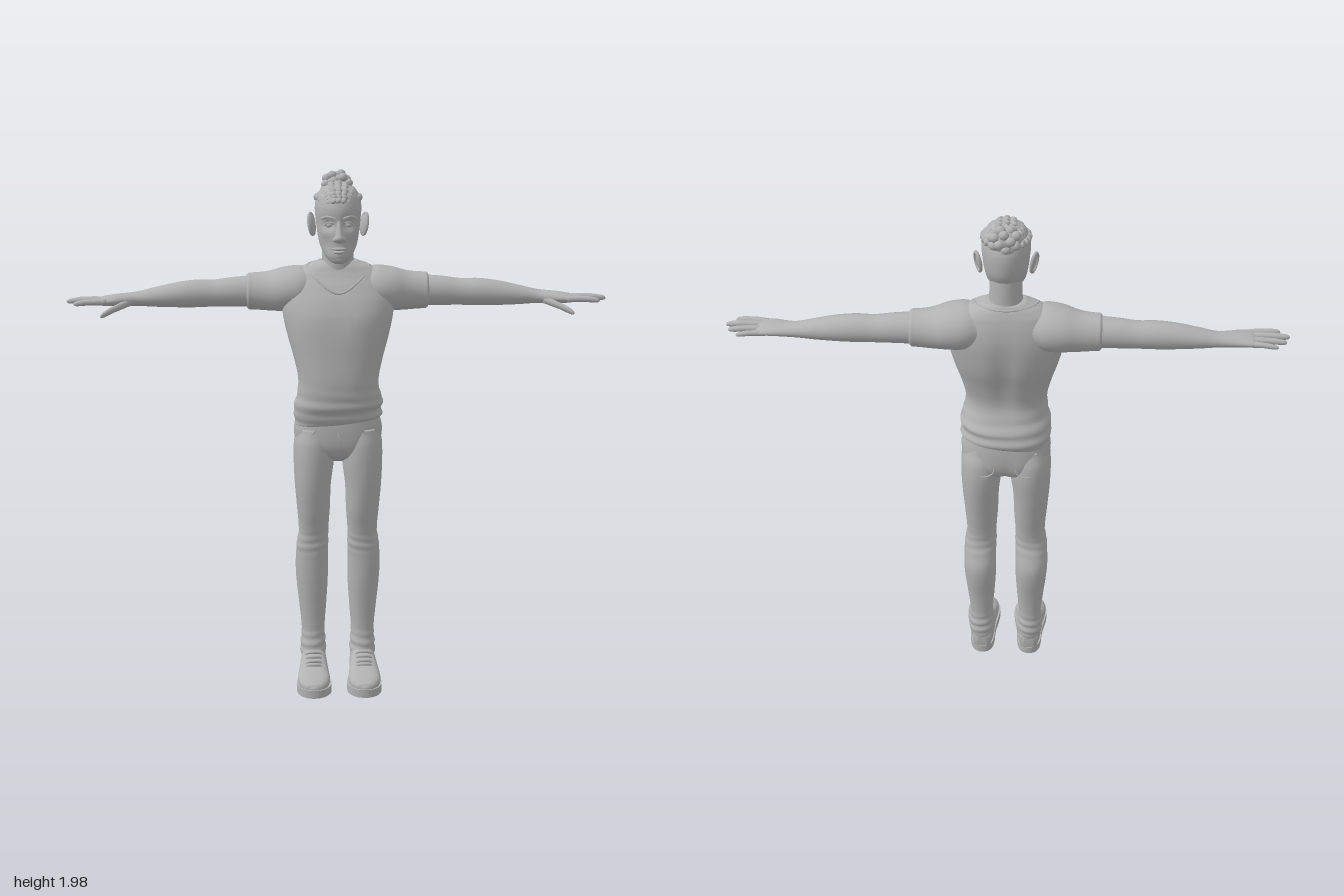
import * as THREE from 'three';
import { mergeGeometries } from 'three/addons/utils/BufferGeometryUtils.js';

const clay = new THREE.MeshStandardMaterial({ color: 0xb2b2b2 });
clay.name = 'clay grey';

// Smooth loft. Each section is [t, a, b, ra, rb]: position along the axis, centre and half sizes across it.
function loft(axis, sections, { steps = 5, sides = 32, power = 2, warp } = {}) {
  const curves = [];
  for (let k = 1; k < 5; k++) curves.push(sections.map(s => s[k]));
  const spline = (v, i, f) => {
    const p = j => v[Math.min(Math.max(j, 0), v.length - 1)];
    const [a, b, c, d] = [p(i - 1), p(i), p(i + 1), p(i + 2)];
    return b + 0.5 * f * (c - a + f * (2 * a - 5 * b + 4 * c - d + f * (3 * (b - c) + d - a)));
  };
  const rows = (sections.length - 1) * steps, pos = [], index = [];
  const place = (t, a, b) => {
    const p = axis === 'y' ? new THREE.Vector3(a, t, b)
      : axis === 'x' ? new THREE.Vector3(t, a, b) : new THREE.Vector3(a, b, t);
    if (warp) warp(p);
    pos.push(p.x, p.y, p.z);
  };
  const tri = (a, b, c) => axis === 'y' ? index.push(a, c, b) : index.push(a, b, c);
  for (let r = 0; r <= rows; r++) {
    const i = Math.min(Math.floor(r / steps), sections.length - 2), f = r / steps - i;
    const t = sections[i][0] + f * (sections[i + 1][0] - sections[i][0]);
    const [a, b, ra, rb] = curves.map(v => spline(v, i, f));
    for (let j = 0; j < sides; j++) {
      const c = Math.cos(j / sides * Math.PI * 2), s = Math.sin(j / sides * Math.PI * 2);
      const round = v => Math.sign(v) * Math.abs(v) ** (2 / power);
      place(t, a + ra * round(c), b + rb * round(s));
    }
  }
  for (let r = 0; r < rows; r++) for (let j = 0; j < sides; j++) {
    const a = r * sides + j, b = r * sides + (j + 1) % sides;
    tri(a, b, b + sides);
    tri(a, b + sides, a + sides);
  }
  for (const [s, row] of [[sections[0], 0], [sections.at(-1), rows]]) {
    const centre = pos.length / 3;
    place(s[0], s[1], s[2]);
    for (let j = 0; j < sides; j++) {
      const a = row * sides + j, b = row * sides + (j + 1) % sides;
      row ? tri(centre, a, b) : tri(centre, b, a);
    }
  }
  const g = new THREE.BufferGeometry();
  g.setAttribute('position', new THREE.Float32BufferAttribute(pos, 3));
  g.setIndex(index);
  g.computeVertexNormals();
  return g;
}

// Section from a front and back depth instead of centre and radius
const sec = (y, cx, rx, front, back) => [y, cx, (front + back) / 2, rx, (front - back) / 2];
const blob = (x, y, z, rx, ry, rz, w = 16, h = 12) =>
  new THREE.SphereGeometry(1, w, h).scale(rx, ry, rz).translate(x, y, z);
const tube = (points, r, closed = false) => new THREE.TubeGeometry(
  new THREE.CatmullRomCurve3(points.map(p => new THREE.Vector3(...p)), closed), 40, r, 6, closed);
const bump = (d, w) => Math.exp(-(d * d) / (w * w));

function mirrored(g) {
  const m = g.clone().scale(-1, 1, 1), i = m.index;
  for (let k = 0; k < i.count; k += 3) {
    const b = i.getX(k + 1);
    i.setX(k + 1, i.getX(k + 2));
    i.setX(k + 2, b);
  }
  return m;
}

export function createModel() {
  const model = new THREE.Group();
  model.name = 'standing man';
  const add = (name, g) => {
    const mesh = new THREE.Mesh(g, clay);
    mesh.name = name;
    model.add(mesh);
  };
  const pair = (name, g) => { add('left ' + name, g); add('right ' + name, mirrored(g)); };

  // Shirt: spine groove, chest, waist folds and a slanted hem
  add('shirt', loft('y', [
    sec(1.048, 0, .158, .068, -.138), sec(1.06, 0, .166, .08, -.147), sec(1.09, 0, .164, .09, -.145),
    sec(1.12, 0, .168, .105, -.138), sec(1.16, 0, .156, .11, -.118), sec(1.22, 0, .15, .114, -.103),
    sec(1.3, 0, .166, .111, -.118), sec(1.38, 0, .188, .106, -.142), sec(1.46, 0, .205, .092, -.152),
    sec(1.52, 0, .208, .072, -.153), sec(1.57, 0, .195, .045, -.146), sec(1.61, 0, .165, .02, -.135),
    sec(1.635, 0, .122, .008, -.124), sec(1.655, 0, .07, -.003, -.113)
  ], { sides: 48, power: 2.25, warp: p => {
    const low = THREE.MathUtils.clamp((1.22 - p.y) / .12, 0, 1);
    const fold = low * .004 * Math.sin(p.y * 130 + p.x * 14);
    p.x *= 1 + fold * 5;
    p.z *= 1 + fold * 6;
    if (p.z < -.06) p.z += .016 * bump(p.x, .035) * bump(p.y - 1.38, .16);
    if (p.z > 0) p.z += .006 * bump(Math.abs(p.x) - .085, .06) * bump(p.y - 1.45, .06);
    p.y += p.x * .11 * low;
  } }));
  add('collar', tube([[0, 1.643, -.12], [.085, 1.642, -.09], [.115, 1.632, -.03], [.065, 1.578, .036],
    [0, 1.545, .06], [-.065, 1.578, .036], [-.115, 1.632, -.03], [-.085, 1.642, -.09]], .004, true));
  pair('sleeve', loft('x', [
    [.08, 1.55, -.06, .07, .075], [.14, 1.548, -.06, .085, .095], [.2, 1.545, -.063, .082, .093],
    [.26, 1.538, -.068, .073, .075], [.31, 1.537, -.07, .069, .065], [.33, 1.537, -.07, .068, .063],
    [.337, 1.537, -.07, .062, .057]]));

  // Arms and hands
  pair('arm', loft('x', [
    [.31, 1.537, -.07, .058, .056], [.4, 1.534, -.07, .054, .052], [.46, 1.53, -.07, .05, .049],
    [.53, 1.529, -.068, .051, .05], [.6, 1.525, -.066, .046, .048], [.68, 1.518, -.064, .036, .041],
    [.74, 1.513, -.062, .027, .035], [.78, 1.511, -.056, .024, .039], [.82, 1.51, -.049, .022, .046],
    [.865, 1.508, -.045, .017, .049], [.885, 1.507, -.044, .01, .044]]));
  const digits = [ // name, base x, y, z, tip x, y, z, radius
    ['little finger', .85, 1.505, -.08, .955, 1.502, -.093, .0095],
    ['ring finger', .85, 1.508, -.058, .987, 1.506, -.065, .011],
    ['middle finger', .85, 1.51, -.032, 1, 1.508, -.033, .0115],
    ['index finger', .85, 1.508, -.009, .97, 1.504, .006, .011],
    ['thumb', .765, 1.503, -.035, .87, 1.464, .044, .0125]];
  for (const [name, x, y, z, tx, ty, tz, r] of digits) {
    const at = (f, k) => [x + (tx - x) * f, y + (ty - y) * f + .004 * Math.sin(f * 3), z + (tz - z) * f, r * k, r * k];
    pair(name, loft('x', [at(0, 1.1), at(.3, 1.1), at(.55, 1), at(.7, 1.02), at(.9, .85), at(.97, .55), at(1, .08)],
      { sides: 12, steps: 3 }));
  }

  // Trousers: hips, then legs with wrinkles at knee and ankle
  add('hips', loft('y', [
    sec(.895, 0, .03, .0, -.09), sec(.92, 0, .1, .045, -.13), sec(.96, 0, .155, .068, -.145),
    sec(1.02, 0, .167, .073, -.142), sec(1.08, 0, .155, .072, -.135)],
  { power: 2.3, warp: p => { if (p.z < -.05) p.z += .014 * bump(p.x, .022) * bump(p.y - .94, .06); } }));
  pair('trouser leg', loft('y', [
    sec(.075, .097, .044, -.002, -.116), sec(.1, .097, .05, .002, -.121), sec(.15, .097, .048, -.008, -.119),
    sec(.2, .097, .045, -.015, -.115), sec(.3, .098, .053, -.01, -.122), sec(.4, .1, .061, -.001, -.136),
    sec(.46, .101, .063, .003, -.136), sec(.52, .1, .062, .006, -.118), sec(.56, .098, .061, .009, -.106),
    sec(.61, .094, .057, .016, -.106), sec(.7, .094, .063, .04, -.12), sec(.8, .096, .069, .06, -.136),
    sec(.9, .092, .077, .07, -.147), sec(.97, .09, .077, .07, -.143), sec(1.03, .085, .07, .06, -.125)
  ], { power: 2.15, steps: 8, warp: p => {
    const f = .045 * bump(p.y - .14, .06) + .022 * bump(p.y - .565, .04);
    const k = 1 + f * Math.sin(p.y * 170 + p.x * 20 + p.z * 16);
    p.x = .097 + (p.x - .097) * k;
    p.z = -.055 + (p.z + .055) * k;
  } }));
  add('fly seam', tube([[0, 1.03, .072], [.002, .98, .07], [0, .93, .05]], .003));
  pair('front pocket seam', tube([[.085, 1.035, .062], [.115, 1.0, .052], [.155, .985, .012]], .003));
  pair('back pocket seam', tube([[.04, 1.01, -.136], [.045, .95, -.143], [.085, .935, -.147],
    [.125, .955, -.128], [.125, 1.01, -.107]], .003));

  // Shoes
  const foot = new THREE.Shape();
  foot.moveTo(.095, .12);
  foot.bezierCurveTo(.14, .12, .145, .07, .145, .03);
  foot.bezierCurveTo(.15, -.03, .165, -.06, .164, -.1);
  foot.bezierCurveTo(.162, -.205, .032, -.2, .03, -.1);
  foot.bezierCurveTo(.032, -.05, .046, -.02, .046, .03);
  foot.bezierCurveTo(.046, .07, .05, .12, .095, .12);
  const sole = new THREE.ExtrudeGeometry(foot, { depth: .032, bevelEnabled: false, curveSegments: 16 }).rotateX(-Math.PI / 2);
  sole.scale(1, 1, -1); // outline is drawn with the toe toward negative v
  sole.rotateY(0);
  const soleGeo = sole.index ? sole : sole.setIndex([...Array(sole.attributes.position.count).keys()]);
  soleGeo.scale(1, 1, -1);
  pair('sole', soleGeo);
  const top = (z, cx, w, h) => [z, cx, h / 2 + .008, w, h / 2 - .008];
  pair('shoe upper', loft('z', [
    top(-.117, .095, .02, .085), top(-.108, .095, .036, .1), top(-.07, .095, .046, .118), top(-.02, .096, .05, .126),
    top(.015, .097, .053, .115), top(.05, .098, .058, .092), top(.1, .098, .062, .074),
    top(.14, .098, .053, .064), top(.163, .098, .033, .052), top(.172, .098, .01, .04)], { power: 2.6 }));
  for (const [i, [z, y]] of [[.01, .118], [.028, .107], [.046, .096], [.062, .088]].entries())
    pair('lace ' + (i + 1), tube([[.06, y - .018, z - .006], [.078, y, z], [.098, y + .003, z + .003],
      [.118, y, z], [.136, y - .018, z - .006]], .006));

  // Neck and head, with hollows for the eyes
  add('neck', loft('y', [
    sec(1.57, 0, .085, .01, -.125), sec(1.62, 0, .072, .012, -.118), sec(1.65, 0, .06, .013, -.11),
    sec(1.7, 0, .057, .015, -.108), sec(1.76, 0, .055, .01, -.105)]));
  add('head', loft('y', [
    sec(1.655, 0, .018, .066, .025), sec(1.663, 0, .034, .076, .005), sec(1.685, 0, .052, .083, -.035),
    sec(1.72, 0, .068, .081, -.085), sec(1.76, 0, .076, .083, -.115), sec(1.8, 0, .081, .081, -.125),
    sec(1.85, 0, .085, .082, -.126), sec(1.89, 0, .079, .068, -.115), sec(1.915, 0, .064, .047, -.098),
    sec(1.93, 0, .038, .02, -.07), sec(1.934, 0, .008, -.015, -.03)
  ], { sides: 48, warp: p => {
    if (p.z < .02) return;
    const x = Math.abs(p.x);
    p.z -= .015 * bump(x - .034, .019) * bump(p.y - 1.796, .018) + .006 * bump(x - .05, .02) * bump(p.y - 1.72, .03);
    p.z += .005 * bump(x - .055, .016) * bump(p.y - 1.765, .015);
  } }));
  add('nose', loft('y', [
    [1.732, 0, .077, .008, .01], [1.738, 0, .084, .019, .017], [1.748, 0, .089, .021, .02],
    [1.76, 0, .087, .015, .019], [1.79, 0, .077, .01, .014], [1.818, 0, .07, .01, .01]], { sides: 20 }));
  pair('nostril wing', blob(.015, 1.744, .08, .01, .009, .013));
  pair('eye', blob(.034, 1.795, .053, .0145, .011, .0145));
  pair('upper eyelid', tube([[.018, 1.795, .065], [.027, 1.804, .068], [.04, 1.804, .065], [.051, 1.794, .054]], .0035));
  pair('eyebrow', tube([[.014, 1.818, .079], [.03, 1.824, .076], [.046, 1.825, .067], [.062, 1.817, .052]], .005));
  add('upper lip', blob(0, 1.711, .077, .026, .0065, .012));
  add('lower lip', blob(0, 1.699, .077, .022, .0075, .013));
  add('chin', blob(0, 1.673, .063, .022, .014, .018));

  // Ears: shell with a raised rim
  pair('ear', mergeGeometries([
    blob(0, 0, 0, .007, .036, .021),
    new THREE.TorusGeometry(.03, .006, 8, 24).scale(.72, 1.25, 1).rotateY(Math.PI / 2).translate(.004, .002, 0)
  ]).rotateY(.5).rotateZ(-.12).rotateX(-.12).translate(.093, 1.787, -.032));

  // Braids run back over the scalp in rows of twisted beads
  for (let k = -3; k <= 3; k++) {
    const q = k * k, beads = [];
    const path = new THREE.CatmullRomCurve3([
      [k * .0165, 1.884 - q * .002, .071 - q * .004], [k * .021, 1.915 - q * .0035, .043 - q * .003],
      [k * .025, 1.933 - q * .0052, -.02], [k * .021, 1.926 - q * .0042, -.075], [k * .009, 1.9 - q * .001, -.117]
    ].map(p => new THREE.Vector3(...p)));
    for (let i = 0; i <= 15; i++) {
      const p = path.getPointAt(i / 15), d = path.getTangentAt(i / 15);
      beads.push(new THREE.SphereGeometry(1, 10, 8).scale(.0135, .0125, .0095)
        .rotateY(i % 2 ? .6 : -.6).rotateX(-Math.asin(d.y)).translate(p.x + (i % 2 ? .0025 : -.0025), p.y, p.z));
    }
    add('braid ' + (k + 4), mergeGeometries(beads));
  }

  // Bun: knot of beads spread evenly over a ball
  const knot = [blob(0, 1.925, -.128, .04, .036, .03)];
  for (let i = 0; i < 18; i++) {
    const h = 1 - 2 * (i + .5) / 18, r = Math.sqrt(1 - h * h), a = i * 2.4;
    knot.push(blob(.044 * r * Math.cos(a), 1.926 + .037 * h, -.129 + .026 * r * Math.sin(a), .018, .0165, .0155, 10, 8));
  }
  add('hair bun', mergeGeometries(knot));
  return model;
}
